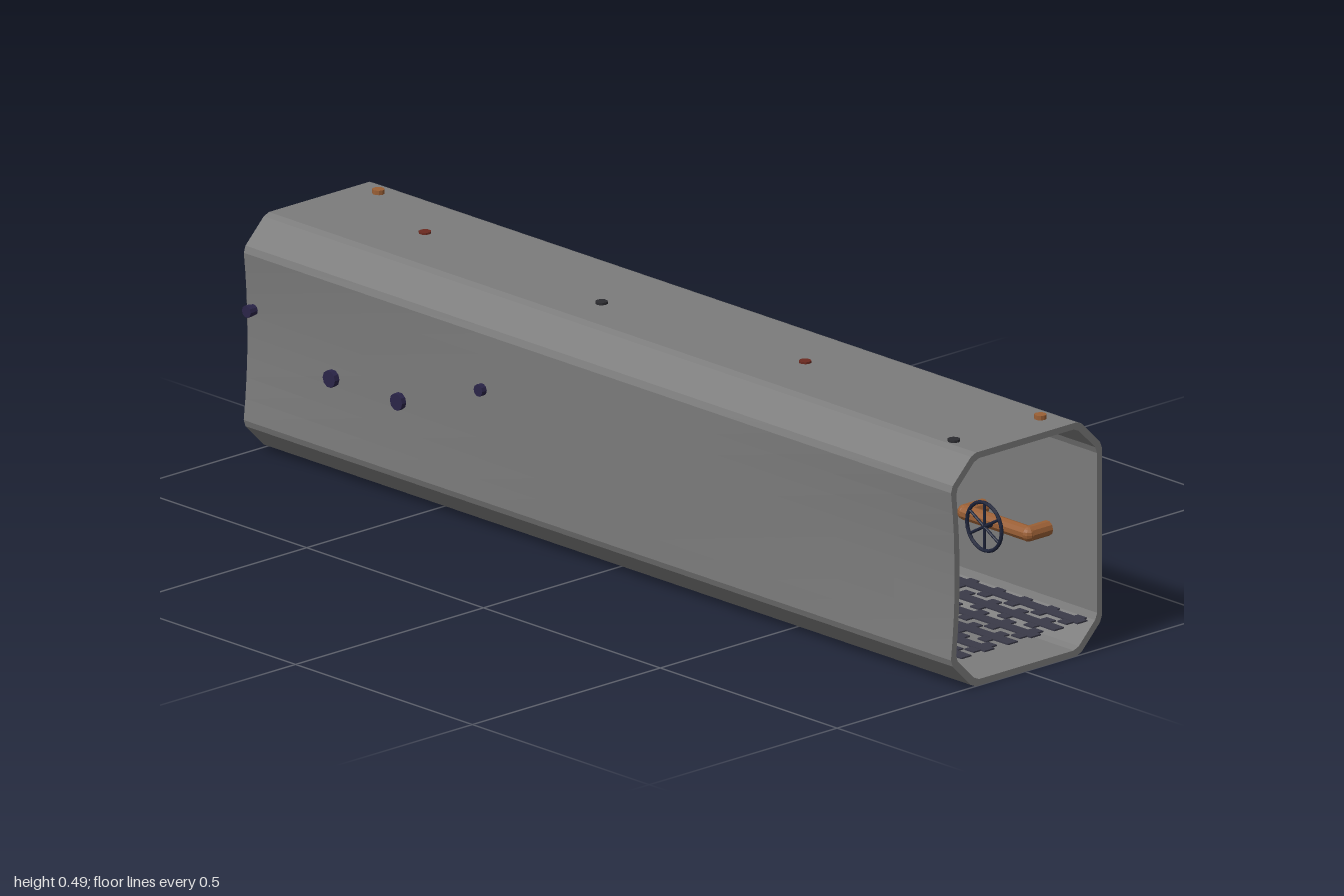
import * as THREE from 'three';

const mat = (color) => new THREE.MeshStandardMaterial({ color, flatShading: true });
const M = {
  shell: mat(0x7b7b7b), pane: mat(0xcccccc), frame: mat(0x7b7b7b), dark: mat(0x2c2c30),
  grate: mat(0x3a3a48), purple: mat(0x2a2448), red: mat(0x6b2a20), orange: mat(0x9a5f35), blue: mat(0x1c2238),
};

function add(parent, name, geo, material) {
  const m = new THREE.Mesh(geo, material);
  m.name = name;
  parent.add(m);
  return m;
}

function box(parent, name, size, pos, material) {
  add(parent, name, new THREE.BoxGeometry(...size), material).position.set(...pos);
}

// Straight round bar between two points
function bar(parent, name, a, b, r, material) {
  const d = b.clone().sub(a);
  const m = add(parent, name, new THREE.CylinderGeometry(r, r, d.length(), 10), material);
  m.position.copy(a).add(b).multiplyScalar(0.5);
  m.quaternion.setFromUnitVectors(new THREE.Vector3(0, 1, 0), d.normalize());
}

// Pipe with rounded elbows and a collar where each end meets the wall
function pipe(parent, name, pts, r, material) {
  const g = new THREE.Group();
  g.name = name;
  const p = pts.map((a) => new THREE.Vector3(...a));
  for (let i = 0; i < p.length - 1; i++) bar(g, 'pipeRun', p[i], p[i + 1], r, material);
  for (let i = 1; i < p.length - 1; i++) add(g, 'elbow', new THREE.SphereGeometry(r, 10, 8), material).position.copy(p[i]);
  for (const [a, b] of [[p[0], p[1]], [p[p.length - 1], p[p.length - 2]]]) {
    const dir = b.clone().sub(a).normalize();
    bar(g, 'collar', a, a.clone().addScaledVector(dir, 0.012), r * 1.12, material);
  }
  parent.add(g);
}

// Closed outline with every corner cut
function cutCorners(pts, cut) {
  const out = [];
  pts.forEach((p, i) => {
    for (const q of [pts[(i + pts.length - 1) % pts.length], pts[(i + 1) % pts.length]]) {
      out.push(p.clone().add(q.clone().sub(p).setLength(cut)));
    }
  });
  return out;
}

function octagon(x0, x1, y0, y1, c) {
  return [[x0 + c, y0], [x1 - c, y0], [x1, y0 + c], [x1, y1 - c],
    [x1 - c, y1], [x0 + c, y1], [x0, y1 - c], [x0, y0 + c]].map((p) => new THREE.Vector2(...p));
}

// Corridor outline, with the -x wall split so that it can be dented
function corridorOutline(inset) {
  const pts = cutCorners(octagon(-0.198 + inset, 0.205 - inset, inset, 0.478 - inset, 0.06 - inset * 0.41), 0.008);
  const a = pts[13], b = pts[14];
  const mid = [];
  for (let i = 1; i < 8; i++) mid.push(a.clone().lerp(b, i / 8));
  pts.splice(14, 0, ...mid);
  return pts;
}

function makeShell(root) {
  const shape = new THREE.Shape(corridorOutline(0));
  shape.holes.push(new THREE.Path(corridorOutline(0.013)));
  const geo = new THREE.ExtrudeGeometry(shape, { depth: 2, steps: 12, bevelEnabled: false });
  geo.translate(0, 0, -1);
  // Bow the -x wall inward toward the open ends
  const p = geo.attributes.position;
  for (let i = 0; i < p.count; i++) {
    if (p.getX(i) > -0.18) continue;
    const t = (p.getY(i) - 0.24) / 0.18;
    p.setX(i, p.getX(i) + 0.011 * p.getZ(i) ** 2 * Math.max(0, 1 - t * t));
  }
  geo.computeVertexNormals();
  add(root, 'corridorShell', geo, M.shell);
}

// Slab or ring standing in the window wall
function windowRing(parent, name, w, h, cut, hole, x0, x1, material) {
  const shape = new THREE.Shape(octagon(-w / 2, w / 2, -h / 2, h / 2, cut));
  if (hole) shape.holes.push(new THREE.Path(octagon(-hole[0] / 2, hole[0] / 2, -hole[1] / 2, hole[1] / 2, 0.012)));
  const geo = new THREE.ExtrudeGeometry(shape, { depth: x1 - x0, bevelEnabled: false });
  geo.rotateY(Math.PI / 2);
  add(parent, name, geo, material).position.x = x0;
}

function makeWindow(root) {
  const g = new THREE.Group();
  g.name = 'window';
  g.position.set(0, 0.257, 0.097);
  windowRing(g, 'outerFrame', 0.34, 0.24, 0.035, [0.3, 0.2], 0.19, 0.208, M.frame);
  windowRing(g, 'innerFrame', 0.36, 0.26, 0.045, [0.3, 0.2], 0.177, 0.194, M.frame);
  windowRing(g, 'pane', 0.302, 0.202, 0.012, null, 0.184, 0.206, M.pane);
  for (const s of [-1, 1]) {
    box(g, 'frameSeam', [0.004, 0.02, 0.006], [0.2065, s * 0.11, 0], M.dark);
    box(g, 'frameSeam', [0.004, 0.006, 0.02], [0.2065, 0, s * 0.16], M.dark);
  }
  root.add(g);
}

// Floor grating of long slats and short staggered cross bars
function makeFloor(root) {
  const g = new THREE.Group();
  g.name = 'floorGrating';
  const n = 6, pitch = 0.37 / n;
  for (let i = 0; i < n; i++) {
    const x = -0.18 + pitch * (i + 0.5);
    box(g, 'slat', [0.026, 0.003, 1.98], [x + 0.003, 0.061, 0], M.grate);
    for (let k = 0; k < 26; k++) {
      const z = -0.965 + k * 0.076 + (i % 2) * 0.03;
      box(g, 'crossBar', [pitch, 0.003, 0.026], [x + 0.003, 0.0605, z], M.grate);
    }
  }
  root.add(g);
}

// U-shaped pipe on a side wall with a hand wheel in its middle
function makeValve(root, side, z0, z1, material, wheelMaterial) {
  const g = new THREE.Group();
  g.name = 'valve';
  const y = 0.215, x = side * 0.141, wall = side * 0.206, z = (z0 + z1) / 2;
  pipe(g, 'valvePipe', [[wall, y, z0], [x, y, z0], [x, y, z1], [wall, y, z1]], 0.0155, material);
  const wx = side * 0.108;
  bar(g, 'stem', new THREE.Vector3(x, y, z), new THREE.Vector3(wx, y, z), 0.005, wheelMaterial);
  const rim = add(g, 'wheelRim', new THREE.TorusGeometry(0.049, 0.0038, 8, 24), wheelMaterial);
  rim.rotation.y = Math.PI / 2;
  rim.position.set(wx, y, z);
  for (let i = 0; i < 3; i++) {
    const a = (i / 3) * Math.PI, c = Math.cos(a) * 0.049, s = Math.sin(a) * 0.049;
    bar(g, 'spoke', new THREE.Vector3(wx, y - c, z - s), new THREE.Vector3(wx, y + c, z + s), 0.003, wheelMaterial);
  }
  root.add(g);
}

// Slatted vent on the -x wall
function makeVent(root) {
  const g = new THREE.Group();
  g.name = 'wallVent';
  g.position.set(-0.178, 0.242, 0.1);
  for (const s of [-1, 1]) {
    box(g, 'ventRail', [0.014, 0.01, 0.26], [0, s * 0.067, 0], M.dark);
    box(g, 'ventPost', [0.014, 0.144, 0.01], [0, 0, s * 0.125], M.dark);
  }
  for (let i = 0; i < 9; i++) box(g, 'ventSlat', [0.01, 0.006, 0.24], [0, -0.054 + i * 0.0135, 0], M.dark);
  root.add(g);
}

export function createModel() {
  const root = new THREE.Group();
  root.name = 'corridor';
  makeShell(root);
  makeWindow(root);
  makeFloor(root);
  makeVent(root);

  makeValve(root, 1, 0.86, 0.68, M.orange, M.blue);
  makeValve(root, -1, -0.75, -0.56, M.purple, M.red);

  // Wall rail
  pipe(root, 'wallRail', [[-0.209, 0.297, -0.98], [-0.171, 0.297, -0.98],
    [-0.171, 0.297, -0.325], [-0.209, 0.297, -0.325]], 0.011, M.purple);

  // Ceiling pipes
  pipe(root, 'orangeCeilingPipe', [[0.102, 0.487, -0.937], [0.102, 0.449, -0.937],
    [0.102, 0.449, 0.935], [0.102, 0.487, 0.935]], 0.011, M.orange);
  pipe(root, 'redCeilingPipe', [[0.003, 0.482, -0.7], [0.003, 0.443, -0.7],
    [0.003, 0.443, 0.375], [0.003, 0.482, 0.375]], 0.011, M.red);
  pipe(root, 'darkCeilingPipe', [[-0.114, 0.483, 0.92], [-0.114, 0.445, 0.92], [-0.114, 0.445, 0.3],
    [-0.04, 0.445, 0.3], [-0.04, 0.445, -0.155], [-0.04, 0.483, -0.155]], 0.011, M.dark);
  return root;
}
